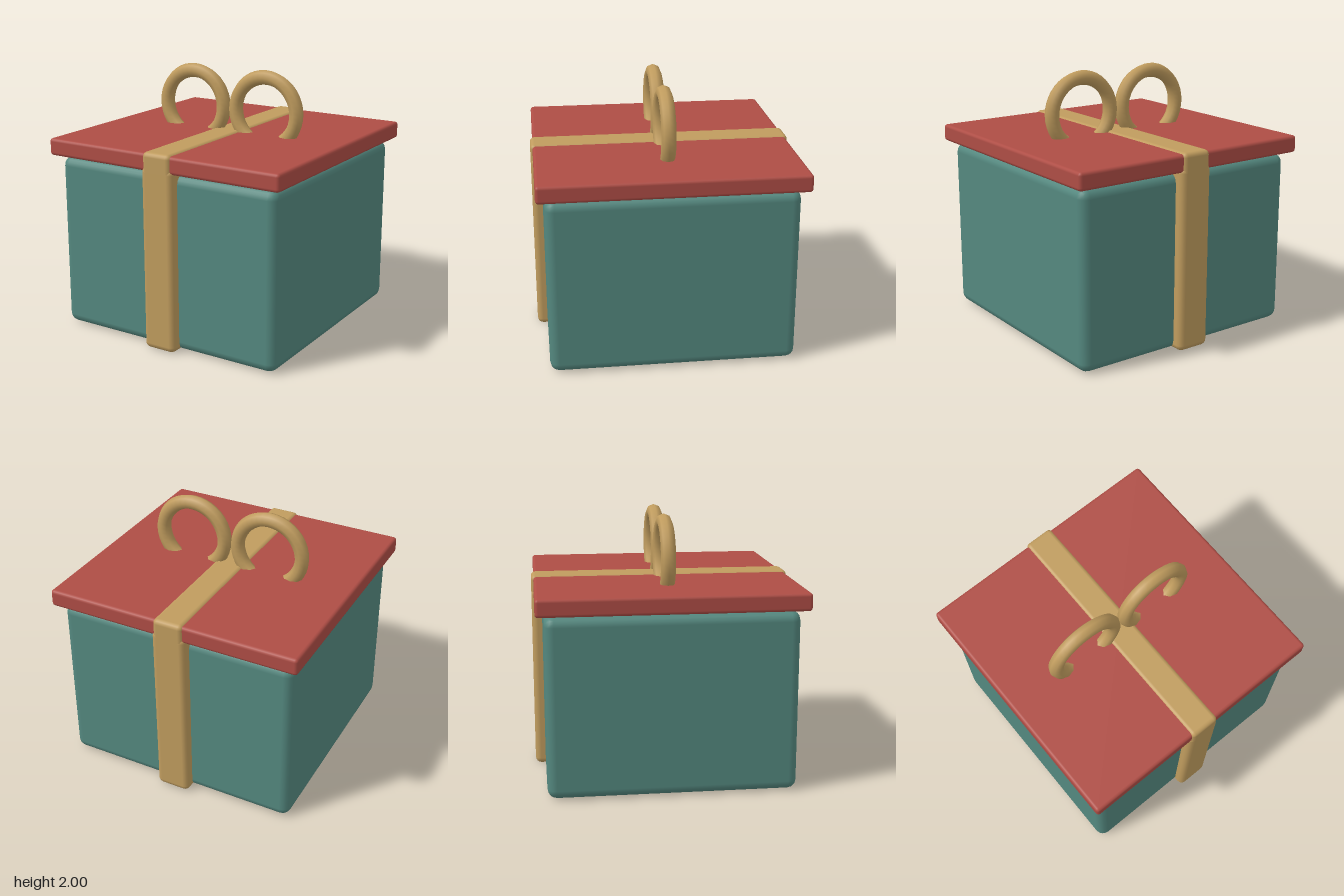
import * as THREE from 'three';
import { RoundedBoxGeometry } from 'three/addons/geometries/RoundedBoxGeometry.js';

const material = (name, color) => {
  const m = new THREE.MeshStandardMaterial({ color });
  m.name = name;
  return m;
};

export function createModel() {
  const teal = material('teal', 0x54887f);
  const red = material('red', 0xae4d45);
  const gold = material('gold', 0xc09c5e);
  const group = new THREE.Group();
  group.name = 'giftBox';

  const add = (name, geometry, mat, x, y, z) => {
    const mesh = new THREE.Mesh(geometry, mat);
    mesh.name = name;
    mesh.position.set(x, y, z);
    group.add(mesh);
  };

  // Softly rounded block resting between two heights
  const block = (name, mat, width, depth, bottom, top, radius) =>
    add(name, new RoundedBoxGeometry(width, top - bottom, depth, 2, radius), mat, 0, (bottom + top) / 2, 0);

  block('box', teal, 1.885, 1.845, 0.006, 1.355, 0.07);
  block('lid', red, 2, 1.965, 1.37, 1.503, 0.025);

  // Ribbon: wide band around the box, slightly narrower band over the lid
  block('boxRibbon', gold, 0.27, 2, 0, 1.41, 0.045);
  block('lidRibbon', gold, 0.24, 2, 1.33, 1.515, 0.035);

  // Bow: two upright rings partly sunk into the lid
  for (const side of [-1, 1]) {
    const loop = new THREE.TorusGeometry(0.266, 0.056, 8, 40);
    add(side > 0 ? 'leftBowLoop' : 'rightBowLoop', loop, gold, side * 0.323, 1.678, 0);
  }

  return group;
}
